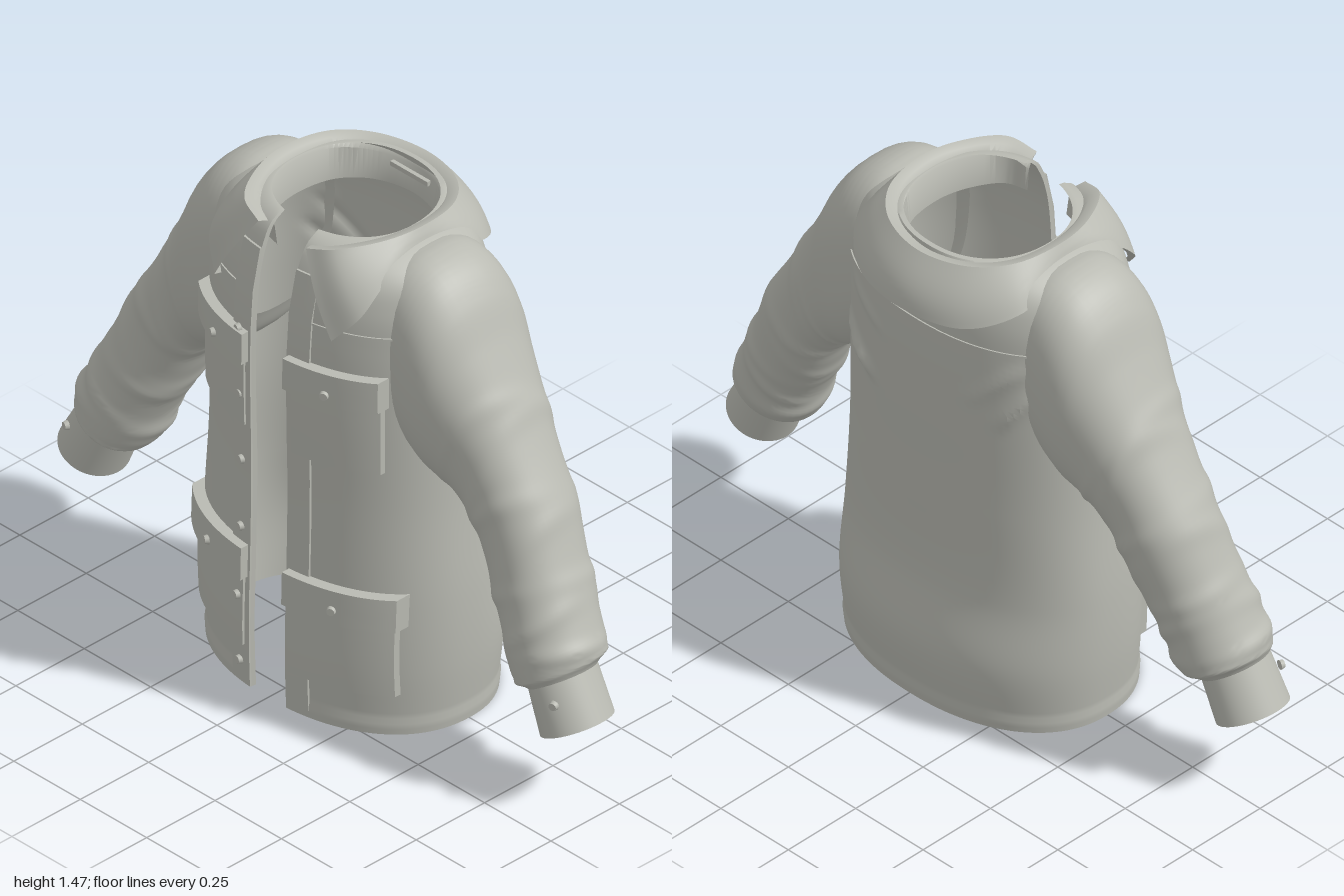
import * as THREE from 'three';
import { toCreasedNormals } from 'three/addons/utils/BufferGeometryUtils.js';

const cloth = new THREE.MeshStandardMaterial({ color: 0xb9bab2, side: THREE.DoubleSide });
cloth.name = 'grey cloth';
const N = 2.2; // roundness of the torso section

// Torso sections: height -> half width, front depth, back depth
const heights = [0.01, 0.2, 0.4, 0.7, 1.0, 1.2, 1.32, 1.4, 1.45, 1.465];
const sections = [
  0.43, 0.31, 0.295, 0.445, 0.315, 0.315, 0.445, 0.31, 0.278, 0.425, 0.305, 0.275, 0.42, 0.31, 0.28,
  0.42, 0.305, 0.28, 0.41, 0.29, 0.27, 0.37, 0.265, 0.25, 0.28, 0.235, 0.24, 0.235, 0.21, 0.235];
const torso = new THREE.CubicInterpolant(heights, sections, 3);

// Surface through a grid of points given by fn(column, row)
function loft(name, cols, rows, fn, crease = 0.7) {
  const pos = [], index = [];
  for (let j = 0; j < rows; j++) for (let i = 0; i < cols; i++) pos.push(...fn(i, j));
  for (let j = 0; j < rows - 1; j++) {
    for (let i = 0; i < cols - 1; i++) {
      const a = j * cols + i, b = a + cols;
      index.push(a, a + 1, b, a + 1, b + 1, b);
    }
  }
  const geo = new THREE.BufferGeometry();
  geo.setAttribute('position', new THREE.Float32BufferAttribute(pos, 3));
  geo.setIndex(index);
  return named(name, toCreasedNormals(geo, crease));
}

function named(name, geo) {
  const mesh = new THREE.Mesh(geo, cloth);
  mesh.name = name;
  return mesh;
}

const power = (v, e) => Math.sign(v) * Math.abs(v) ** e;

// Soft creases across the back: start, end, height
const creases = [[0.34, 1.05, 0.17, 0.96, 0.014], [0.28, 1.0, 0.16, 0.94, 0.01],
  [-0.36, 1.14, -0.24, 0.98, 0.012], [-0.34, 1.22, -0.16, 1.04, 0.01], [0.3, 1.2, 0.12, 1.12, 0.006]];
function creaseAt(x, y) {
  let h = 0;
  for (const [x1, y1, x2, y2, s] of creases) {
    const dx = x2 - x1, dy = y2 - y1, l = Math.hypot(dx, dy);
    const t = ((x - x1) * dx + (y - y1) * dy) / (l * l);
    const d = ((x - x1) * dy - (y - y1) * dx) / l;
    h += s * Math.exp(-((d / 0.016) ** 2)) * Math.exp(-(((t - 0.5) / 0.4) ** 4));
  }
  return h;
}

// Torso wall, u = 0..1 from one front edge round the back to the other
function torsoPoint(u, y, off) {
  const [a, f, b] = torso.evaluate(y);
  const start = Math.asin((0.068 / a) ** (N / 2));
  const ang = start + u * 2 * (Math.PI - start);
  const c = power(Math.cos(ang), 2 / N), s = power(Math.sin(ang), 2 / N);
  if (c < 0) off += creaseAt(a * s, y);
  return [(a + off) * s, y, (c > 0 ? f + off : b + off) * c];
}

function makeTorso() {
  const cols = 121, steps = 90;
  const yAt = (k) => 0.01 + 1.455 * k / steps;
  return loft('jacketBody', cols + 2, steps * 2 + 3, (i, j) => {
    const outer = j <= steps;
    const k = outer ? j : Math.max(0, 2 * steps + 1 - j);
    const edge = i === 0 || i === cols + 1;
    const u = THREE.MathUtils.clamp((i - 1) / (cols - 1), 0, 1);
    const closing = j === steps * 2 + 2; // hem edge
    const hem = yAt(k) < 0.045 ? 0.005 : 0;
    return torsoPoint(u, yAt(k), closing || (outer && !edge) ? hem : -0.014);
  });
}

// Raised panel lying on the front (side 1) or back (side -1) of the torso
function panel(name, x0, x1, y0, y1, t, side = 1, dip = 0) {
  const cols = 24, rows = 14;
  return loft(name, cols, rows, (i, j) => {
    const u = THREE.MathUtils.clamp((i - 1) / (cols - 3), 0, 1);
    const v = THREE.MathUtils.clamp((j - 1) / (rows - 3), 0, 1);
    const rim = i === 0 || j === 0 || i === cols - 1 || j === rows - 1;
    const x = x0 + (x1 - x0) * u;
    const y = y0 + (y1 - y0) * v - dip * (1 - v) * Math.sin(Math.PI * u);
    const [a, f, b] = torso.evaluate(y);
    const off = rim ? -0.006 : t;
    const z = ((side > 0 ? f : b) + off) * Math.max(0, 1 - Math.abs(x / (a + off)) ** N) ** (1 / N);
    return [x, y, z * side];
  });
}

function button(x, y, z, turn) {
  const m = named('button', new THREE.CylinderGeometry(0.011, 0.014, 0.012, 16));
  m.position.set(x, y, z);
  m.rotation.set(Math.PI / 2, 0, -turn);
  return m;
}

function torsoButton(x, y, off) {
  const [a, f] = torso.evaluate(y);
  const z = (f + off) * (1 - Math.abs(x / (a + off)) ** N) ** (1 / N);
  return button(x, y, z, Math.atan(x / a));
}

// Sleeve rings: outer x, y, inner x, y, depth centre, half depth
const sleeveRings = [
  [0.24, 1.435, 0.28, 0.97, 0, 0.18], [0.33, 1.447, 0.32, 0.89, 0, 0.195], [0.41, 1.415, 0.37, 0.84, 0, 0.2],
  [0.47, 1.35, 0.41, 0.81, 0, 0.195], [0.53, 1.235, 0.44, 0.795, 0, 0.18], [0.605, 1.1, 0.48, 0.77, -0.003, 0.158],
  [0.68, 0.97, 0.54, 0.71, 0, 0.143], [0.765, 0.83, 0.58, 0.63, 0.005, 0.138], [0.83, 0.69, 0.63, 0.53, 0.022, 0.135],
  [0.89, 0.57, 0.675, 0.44, 0.038, 0.134], [0.935, 0.46, 0.715, 0.345, 0.05, 0.13], [0.925, 0.41, 0.77, 0.33, 0.06, 0.1]];
const outerLine = new THREE.CatmullRomCurve3(sleeveRings.map((r) => new THREE.Vector3(r[0], r[1], r[4])));
const innerLine = new THREE.CatmullRomCurve3(sleeveRings.map((r) => new THREE.Vector3(r[2], r[3], r[5])));

// Sleeve folds: place along the sleeve, slant, height
const folds = [[0.43, 0.03, 0.03], [0.51, -0.03, 0.04], [0.59, 0.03, 0.045], [0.67, -0.025, 0.035],
  [0.74, 0.02, 0.05], [0.81, -0.02, 0.06], [0.87, 0.02, 0.07], [0.935, -0.01, 0.08]];

function ringPoint(o, i, ang, n, scale, sx) {
  const c = power(Math.cos(ang), 2 / n) * scale, s = power(Math.sin(ang), 2 / n) * scale;
  return [sx * ((o.x + i.x) / 2 + c * (o.x - i.x) / 2), (o.y + i.y) / 2 + c * (o.y - i.y) / 2, o.z + s * i.z];
}

function makeSleeve(sx) {
  const cols = 49, rows = 130;
  return loft('sleeve', cols, rows, (i, j) => {
    const t = j / (rows - 1), ang = (i % (cols - 1)) / (cols - 1) * Math.PI * 2;
    let r = 1;
    for (const [at, slant, h] of folds) {
      const d = (t - at - slant * Math.cos(ang + 0.6)) / 0.019;
      r += h * Math.exp(-d * d) * (0.6 + 0.4 * Math.sin(ang * 2 + at * 30));
    }
    return ringPoint(outerLine.getPoint(t), innerLine.getPoint(t), ang, 2 + 0.7 * (1 - t), r, sx);
  }, 1);
}

function makeCuff(sx) {
  const top = [{ x: 0.925, y: 0.425, z: 0.06 }, { x: 0.765, y: 0.345, z: 0.102 }];
  const end = [{ x: 0.998, y: 0.295, z: 0.065 }, { x: 0.82, y: 0.21, z: 0.106 }];
  const rings = [[top, 0.9], [top, 1], [end, 1], [end, 0.88], [top, 0.86]];
  return loft('cuff', 41, rings.length, (i, j) => {
    const [[o, n], scale] = rings[j];
    return ringPoint(o, n, (i % 40) / 40 * Math.PI * 2, 2, scale, sx);
  });
}

// Folded collar: fold line and lower edge for one half, then mirrored
const foldHalf = [[0.09, 1.45, 0.262], [0.17, 1.472, 0.235], [0.24, 1.48, 0.12], [0.262, 1.483, 0],
  [0.235, 1.478, -0.14], [0.15, 1.47, -0.23], [0, 1.465, -0.27]];
const edgeHalf = [[0.22, 1.235, 0.296], [0.285, 1.32, 0.25], [0.295, 1.4, 0.16], [0.285, 1.42, 0],
  [0.305, 1.375, -0.18], [0.2, 1.325, -0.295], [0, 1.32, -0.345]];
const mirrored = (half) => new THREE.CatmullRomCurve3(
  [...half, ...half.slice(0, -1).reverse().map(([x, y, z]) => [-x, y, z])].map((p) => new THREE.Vector3(...p)));

function makeCollar() {
  const fold = mirrored(foldHalf), edge = mirrored(edgeHalf), cols = 97, drop = 10;
  return loft('collar', cols, drop + 5, (i, j) => {
    const t = i / (cols - 1), f = fold.getPoint(t), e = edge.getPoint(t);
    if (j < 3) { // neck band inside
      const k = [0.8, 0.83, 0.9][j];
      return [f.x * k, [1.36, f.y - 0.025, f.y - 0.006][j], f.z * k];
    }
    const v = Math.min((j - 3) / drop, 1), p = f.clone().lerp(e, v);
    const bulge = 1 + 0.05 * Math.sin(Math.PI * v);
    if (j === drop + 4) return [p.x * 0.95, p.y + 0.004, p.z * 0.95]; // turned edge
    return [p.x * (1 + (bulge - 1) * 0.3), p.y, p.z * bulge];
  });
}

export function createModel() {
  const jacket = new THREE.Group();
  jacket.name = 'jacket';
  jacket.add(makeTorso(), makeCollar());

  for (const sx of [1, -1]) {
    const half = new THREE.Group();
    half.name = sx > 0 ? 'leftHalf' : 'rightHalf';
    const add = (name, x0, x1, ...rest) => half.add(panel(name, sx * x0, sx * x1, ...rest));
    half.add(makeSleeve(sx), makeCuff(sx));
    // Front edge band and yoke seam
    add('placket', 0.068, 0.142, 0.012, 1.38, 0.006);
    add('frontYokeSeam', 0.1, 0.37, 1.246, 1.252, 0.004);
    add('backYokeSeam', 0, 0.38, 1.24, 1.246, 0.004, -1);
    // Chest and hip pockets with flaps
    add('chestPocket', 0.088, 0.33, 0.83, 1.06, 0.012);
    add('chestFlap', 0.077, 0.338, 1.035, 1.13, 0.03, 1, 0.004);
    add('hipPocket', 0.085, 0.37, 0.14, 0.38, 0.014);
    add('hipFlap', 0.077, 0.385, 0.355, 0.455, 0.032, 1, 0.004);
    half.add(torsoButton(sx * 0.21, 1.065, 0.034), torsoButton(sx * 0.235, 0.395, 0.036));
    half.add(button(sx * 0.918, 0.355, 0.162, sx * 0.3));
    jacket.add(half);
  }

  // Closing buttons along one front edge
  for (let k = 0; k < 6; k++) jacket.add(torsoButton(-0.108, 0.08 + k * 0.21, k === 1 || k === 5 ? 0.018 : 0.01));

  // Hanging loop inside the neck
  const loop = named('hangingLoop', new THREE.BoxGeometry(0.14, 0.014, 0.012));
  loop.position.set(0, 1.425, -0.207);
  jacket.add(loop);
  return jacket;
}
